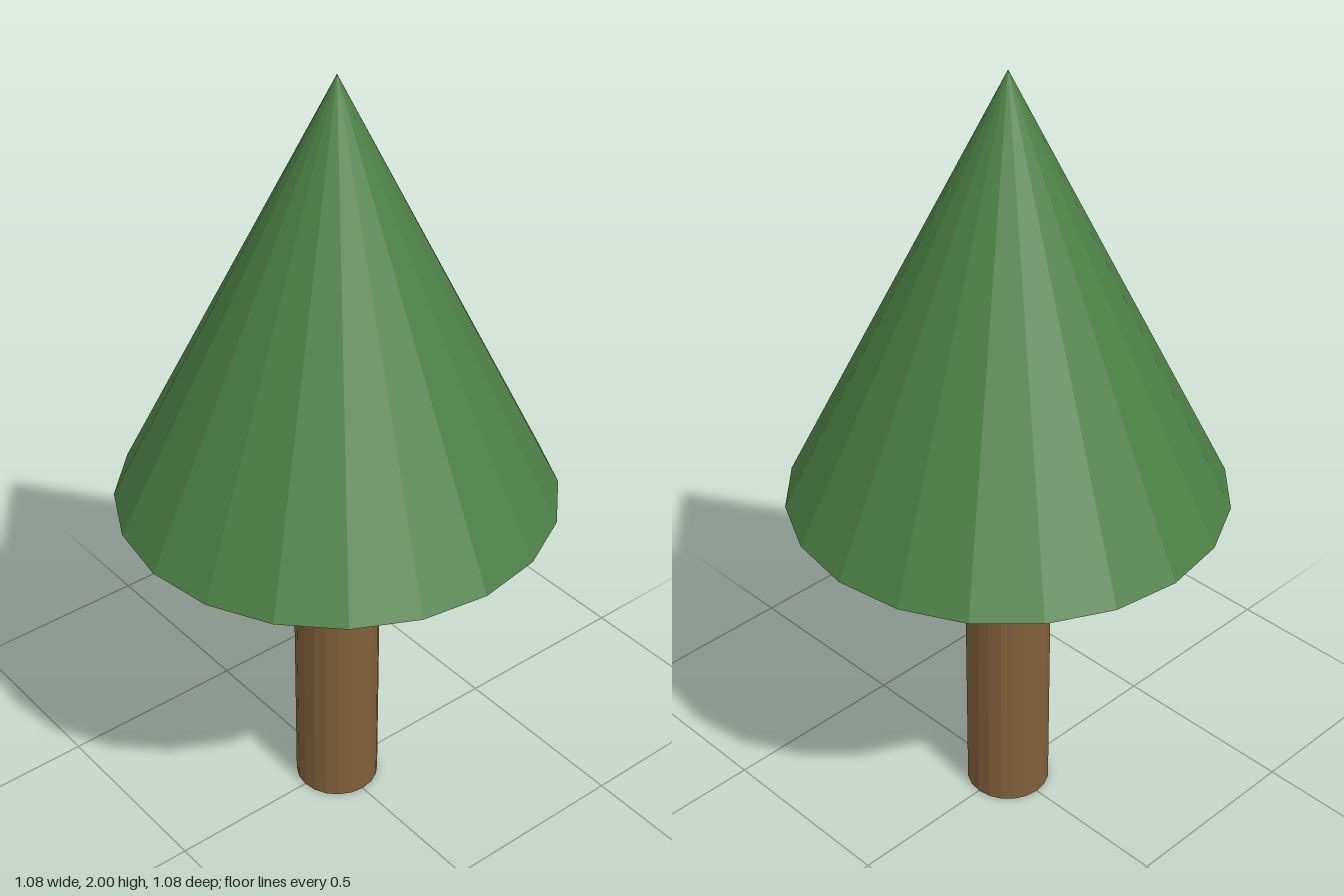
import * as THREE from 'three';

const SIDES = 20;
const TRUNK_HEIGHT = 0.92;
const TOTAL_HEIGHT = 2;

function addPart(group, name, geometry, color, y) {
  const material = new THREE.MeshStandardMaterial({ color, flatShading: true });
  const mesh = new THREE.Mesh(geometry, material);
  mesh.name = name;
  mesh.position.y = y;
  group.add(mesh);
}

export function createModel() {
  const tree = new THREE.Group();
  tree.name = 'tree';

  // Straight trunk, standing on the ground and meeting the crown's underside
  const trunk = new THREE.CylinderGeometry(0.108, 0.108, TRUNK_HEIGHT, SIDES);
  addPart(tree, 'trunk', trunk, 0x80603a, TRUNK_HEIGHT / 2);

  // Faceted conical crown with a closed base
  const crownHeight = TOTAL_HEIGHT - TRUNK_HEIGHT;
  const crown = new THREE.ConeGeometry(0.54, crownHeight, SIDES);
  addPart(tree, 'crown', crown, 0x4c8045, TRUNK_HEIGHT + crownHeight / 2);

  return tree;
}
